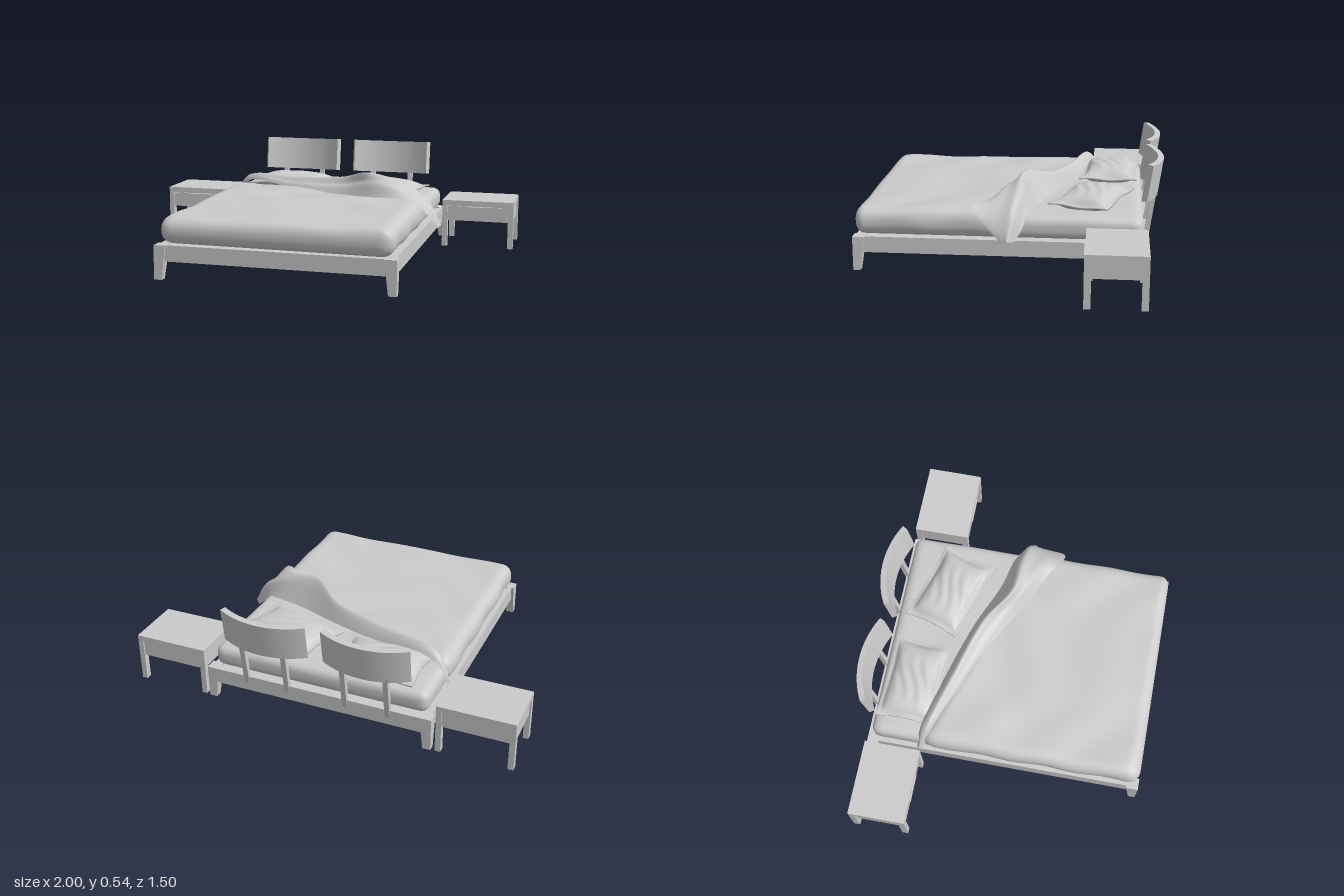
import * as THREE from 'three';
import { mergeVertices, toCreasedNormals } from 'three/addons/utils/BufferGeometryUtils.js';

const grey = new THREE.MeshStandardMaterial({ color: 0xcccccc });
const cloth = new THREE.MeshStandardMaterial({ color: 0xcccccc, side: THREE.DoubleSide });

function add(parent, name, geometry, material = grey) {
  const mesh = new THREE.Mesh(geometry, material);
  mesh.name = name;
  parent.add(mesh);
  return mesh;
}

// Box given by its minimum and maximum corners
function block(parent, name, [x0, y0, z0], [x1, y1, z1]) {
  const mesh = add(parent, name, new THREE.BoxGeometry(x1 - x0, y1 - y0, z1 - z0));
  mesh.position.set((x0 + x1) / 2, (y0 + y1) / 2, (z0 + z1) / 2);
  return mesh;
}

// Move every vertex by a rule, then smooth
function deform(geometry, rule) {
  geometry.deleteAttribute('uv');
  geometry.deleteAttribute('normal');
  const g = mergeVertices(geometry);
  const p = g.attributes.position;
  const v = new THREE.Vector3();
  for (let i = 0; i < p.count; i++) {
    rule(v.fromBufferAttribute(p, i));
    p.setXYZ(i, v.x, v.y, v.z);
  }
  g.computeVertexNormals();
  return g;
}

// Dense soft-edged box with an extra rule for wrinkles and shear
function softBox(w, h, d, r, rule) {
  const half = new THREE.Vector3(w / 2 - r, h / 2 - r, d / 2 - r);
  const low = half.clone().negate();
  const inner = new THREE.Vector3();
  return deform(new THREE.BoxGeometry(w, h, d, 64, 10, 64), v => {
    inner.copy(v).clamp(low, half);
    v.sub(inner).setLength(r).add(inner);
    rule(v);
  });
}

const wrinkle = (x, z) =>
  0.003 * Math.sin(9 * x + 5 * z + 2 * Math.sin(7 * z)) +
  0.003 * Math.sin(16 * z - 6 * x + 1.5 * Math.sin(8 * x));

// Corner leg, straight outside and tapered inside
function bedLeg(parent, sx, sz, zOuter) {
  const g = new THREE.BoxGeometry(0.06, 0.17, 0.06).toNonIndexed();
  const p = g.attributes.position;
  for (let i = 0; i < p.count; i++) {
    if (p.getY(i) > 0) continue;
    if (p.getX(i) * sx < 0) p.setX(i, -0.01 * sx);
    if (p.getZ(i) * sz < 0) p.setZ(i, -0.005 * sz);
  }
  g.computeVertexNormals();
  add(parent, 'bedLeg', g).position.set(sx * 0.565, 0.085, zOuter - sz * 0.03);
}

function bedFrame() {
  const frame = new THREE.Group();
  frame.name = 'bedFrame';
  for (const s of [-1, 1]) {
    block(frame, 'sideRail', [s * 0.57 - 0.012, 0.09, -0.67], [s * 0.57 + 0.012, 0.17, 0.735]);
    bedLeg(frame, s, 1, 0.75);
    bedLeg(frame, s, -1, -0.68);
  }
  block(frame, 'frontRail', [-0.57, 0.09, 0.715], [0.57, 0.17, 0.74]);
  block(frame, 'backRail', [-0.57, 0.09, -0.68], [0.57, 0.17, -0.655]);
  block(frame, 'basePanel', [-0.56, 0.092, -0.656], [0.56, 0.165, 0.716]);
  return frame;
}

// Curved, tilted backrest on two posts
function backrest(x) {
  const group = new THREE.Group();
  group.name = 'backrest';
  const R = 0.465, a = 0.505, mid = Math.PI / 2;
  const shape = new THREE.Shape();
  shape.absarc(0, -R, R, mid + a, mid - a, true);
  shape.absarc(0, -R, R - 0.03, mid - a, mid + a, false);
  shape.closePath();
  const g = new THREE.ExtrudeGeometry(shape, { depth: 0.18, bevelEnabled: false, curveSegments: 24 });
  g.rotateX(-Math.PI / 2);
  const panel = add(group, 'backrestPanel', toCreasedNormals(g, 0.6));
  panel.position.set(0, 0.345, -0.725);
  panel.rotation.x = -0.14;
  for (const s of [-1, 1]) {
    const post = add(group, 'backrestPost', new THREE.BoxGeometry(0.026, 0.27, 0.024));
    post.position.set(s * 0.11, 0.235, -0.683);
    post.rotation.x = -0.14;
  }
  group.position.x = x;
  return group;
}

// Stuffed cushion with a thin border and pulled-out corners
function pillow(x, z, turn) {
  const soft = t => Math.max(0, 1 - Math.pow(Math.min(1, Math.abs(t)), 3));
  const g = deform(new THREE.BoxGeometry(2, 2, 2, 44, 2, 32), v => {
    const { x: u, z: w } = v;
    const fill = Math.sqrt(soft(u / 0.88) * soft(w / 0.84));
    const crease = 0.003 * fill * Math.sin(14 * w + 4 * Math.sin(3 * u)) * Math.cos(2 * u);
    v.y = v.y * (0.004 + 0.043 * fill) + crease + 0.005 * Math.sin(5 * u + 4 * w) * (1 - fill);
    v.x = u * (0.225 - 0.014 * (1 - w * w));
    v.z = w * (0.152 - 0.012 * (1 - u * u));
  });
  const mesh = add(new THREE.Group(), 'pillow', g);
  mesh.position.set(x, 0.313, z);
  mesh.rotation.y = turn;
  return mesh;
}

// Folded-back band of the duvet, lofted across four guide curves
function duvetFold() {
  const guides = [
    [[-0.585, 0.2, -0.41], [-0.5, 0.315, -0.4], [-0.2, 0.3, -0.33], [0.1, 0.3, -0.24],
      [0.35, 0.29, -0.14], [0.52, 0.28, -0.1], [0.6, 0.22, -0.07], [0.64, 0.18, -0.04]],
    [[-0.595, 0.21, -0.4], [-0.5, 0.345, -0.375], [-0.2, 0.36, -0.29], [0.1, 0.385, -0.19],
      [0.27, 0.432, -0.07], [0.45, 0.395, -0.05], [0.59, 0.32, -0.03], [0.67, 0.19, -0.01]],
    [[-0.59, 0.2, -0.39], [-0.5, 0.342, -0.35], [-0.2, 0.348, -0.25], [0.1, 0.36, -0.14],
      [0.3, 0.4, -0.02], [0.45, 0.375, 0.03], [0.59, 0.3, 0.05], [0.665, 0.185, 0]],
    [[-0.59, 0.19, -0.38], [-0.5, 0.32, -0.34], [-0.2, 0.315, -0.22], [0.05, 0.31, -0.11],
      [0.3, 0.325, 0.03], [0.45, 0.335, 0.1], [0.565, 0.33, 0.17], [0.655, 0.18, 0.02]],
  ].map(c => new THREE.CatmullRomCurve3(c.map(p => new THREE.Vector3(...p))));
  const nu = 72, nv = 18, position = [], index = [];
  for (let i = 0; i <= nu; i++) {
    const row = new THREE.CatmullRomCurve3(guides.map(c => c.getPoint(i / nu)));
    for (let j = 0; j <= nv; j++) {
      const p = row.getPoint(j / nv);
      const pleat = Math.sin(Math.PI * i / nu) * Math.sin(Math.PI * j / nv);
      position.push(p.x, p.y + 0.007 * pleat * Math.sin(14 * j / nv + 5 * i / nu), p.z);
      if (i < nu && j < nv) {
        const a = i * (nv + 1) + j, b = a + nv + 1;
        index.push(a, a + 1, b, b, a + 1, b + 1);
      }
    }
  }
  const g = new THREE.BufferGeometry();
  g.setAttribute('position', new THREE.Float32BufferAttribute(position, 3));
  g.setIndex(index);
  g.computeVertexNormals();
  return g;
}

function bedding() {
  const group = new THREE.Group();
  group.name = 'bedding';
  add(group, 'mattress', softBox(1.13, 0.115, 1.38, 0.045, v => {
    v.y += 0.2275 + (v.y > 0 ? wrinkle(v.x, v.z) * 0.5 : 0);
    v.z += 0.035;
  }));
  // Duvet: its head end runs diagonally across the bed
  add(group, 'duvet', softBox(1.15, 0.138, 1, 0.062, v => {
    const t = v.z + 0.5;
    const edge = -0.2 + 0.35 * v.x;
    v.z = edge + (0.745 - edge) * t;
    const lift = Math.max(0, v.y / 0.069);
    v.x += Math.sign(v.x) * 0.004 * Math.sin(19 * v.z) * (1 - lift);
    v.y += 0.239 + lift * (wrinkle(v.x, v.z) + 0.012 * Math.pow(1 - t, 4));
  }));
  add(group, 'duvetFold', duvetFold(), cloth);
  group.add(pillow(-0.265, -0.485, -0.04), pillow(0.265, -0.4, -0.3));
  return group;
}

function nightstand(x) {
  const group = new THREE.Group();
  group.name = 'nightstand';
  block(group, 'nightstandTop', [-0.1925, 0.228, -0.145], [0.1925, 0.255, 0.145]);
  block(group, 'drawerBox', [-0.185, 0.142, -0.138], [0.185, 0.228, 0.132]);
  block(group, 'drawerFront', [-0.163, 0.145, 0.13], [0.163, 0.222, 0.139]);
  block(group, 'drawerPull', [-0.07, 0.208, 0.137], [0.07, 0.222, 0.15]);
  for (const sx of [-1, 1]) for (const sz of [-1, 1]) {
    const leg = block(group, 'nightstandLeg', [-0.014, 0, -0.016], [0.014, 0.229, 0.016]);
    leg.position.x = sx * 0.1785;
    leg.position.z = sz * 0.129;
  }
  group.position.set(x, 0, -0.53);
  return group;
}

export function createModel() {
  const model = new THREE.Group();
  model.name = 'bedWithNightstands';
  model.add(bedFrame(), bedding());
  for (const s of [-1, 1]) model.add(backrest(s * 0.264), nightstand(s * 0.8075));
  return model;
}
